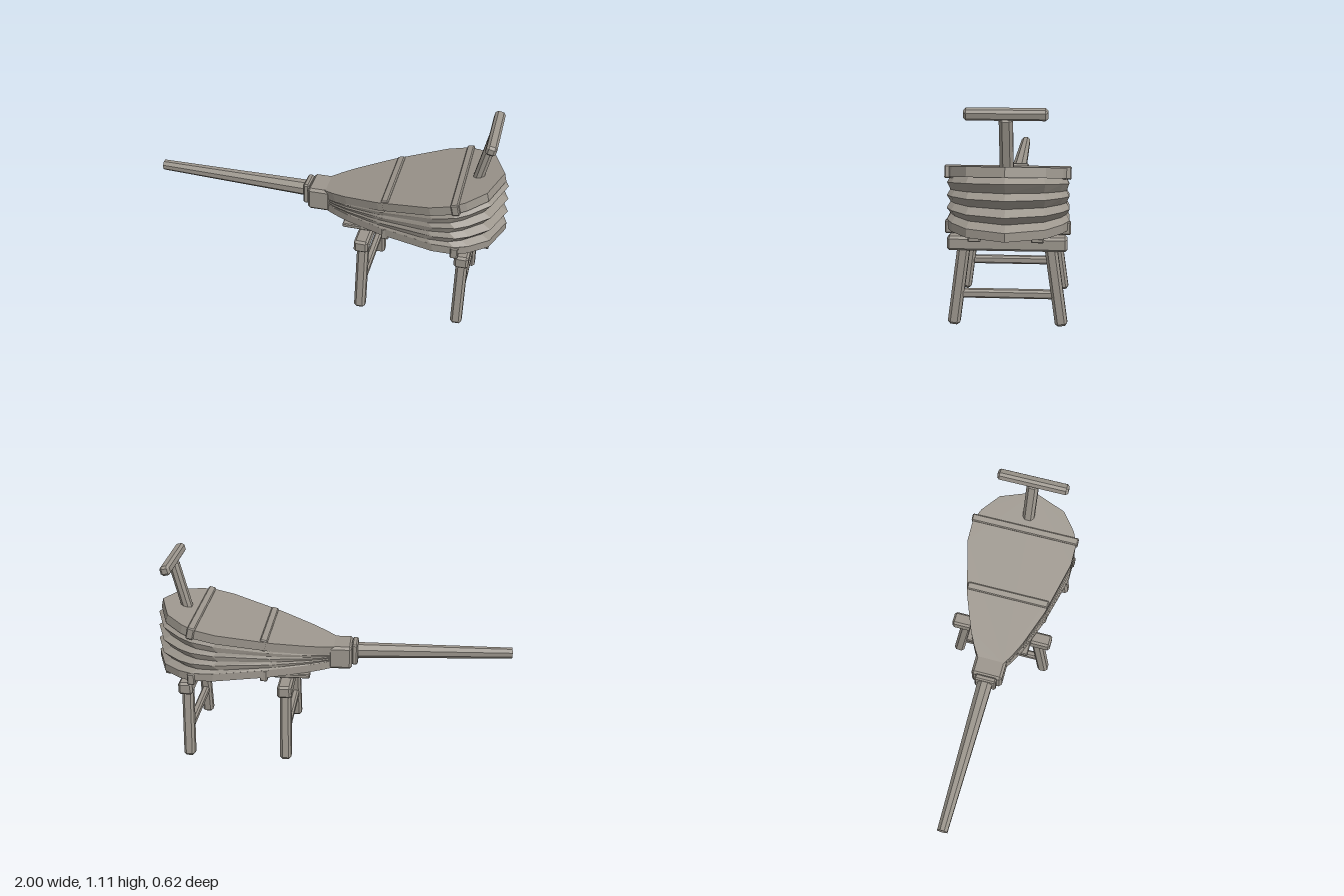
import * as THREE from 'three';
import { ConvexGeometry } from 'three/addons/geometries/ConvexGeometry.js';

const wood = new THREE.MeshStandardMaterial({ color: 0x9c968d, flatShading: true });
wood.name = 'grey wood';

// Half outline of the boards: [x, half width]
const HALF = [[0, 0.075], [0.06, 0.112], [0.14, 0.152], [0.34, 0.228], [0.64, 0.303],
  [0.76, 0.303], [0.83, 0.272], [0.93, 0.19], [1, 0]];
const OUTLINE = [...HALF, ...HALF.slice(0, -1).reverse().map(([x, w]) => [x, -w])];
const TILT = 0.23;

function mesh(name, geometry, parent) {
  const m = new THREE.Mesh(geometry, wood);
  m.name = name;
  parent.add(m);
  return m;
}

// Box with every edge chamfered by c
function beam(name, parent, size, pos, c = 0.01) {
  const points = [];
  for (let axis = 0; axis < 3; axis++) {
    for (let s = 0; s < 8; s++) {
      const p = size.map((d, i) => (d / 2 - (i === axis ? 0 : c)) * ((s >> i) & 1 ? 1 : -1));
      points.push(new THREE.Vector3(...p));
    }
  }
  const m = mesh(name, new ConvexGeometry(points), parent);
  m.position.set(...pos);
  return m;
}

// Chamfered beam whose length runs between two points
function strut(name, parent, a, b, width, depth, c) {
  const from = new THREE.Vector3(...a), to = new THREE.Vector3(...b);
  const dir = to.clone().sub(from);
  const m = beam(name, parent, [width, dir.length(), depth], [0, 0, 0], c);
  m.position.copy(from).add(to).multiplyScalar(0.5);
  m.quaternion.setFromUnitVectors(new THREE.Vector3(0, 1, 0), dir.normalize());
  return m;
}

// Leaf-shaped board standing on its local y = 0
function board(name, parent, thickness) {
  const shape = new THREE.Shape(OUTLINE.map(([x, z]) => new THREE.Vector2(x, z)));
  const g = new THREE.ExtrudeGeometry(shape, { depth: thickness, bevelEnabled: false });
  g.rotateX(-Math.PI / 2);
  return mesh(name, g, parent);
}

// Pleated skin fanning out between the two boards
function pleats() {
  const layers = [[0, 1], [0.11, 0.95], [0.28, 1], [0.41, 0.95], [0.585, 0.995],
    [0.71, 0.95], [0.89, 0.99], [1.02, 0.95]];
  const n = OUTLINE.length, pos = [], index = [];
  layers.forEach(([t, s], row) => {
    OUTLINE.forEach(([x, z], i) => {
      pos.push(x * s, 0.533 + t * (0.037 + 0.23 * x * s), z * s);
      if (row < layers.length - 1) {
        const a = row * n + i, b = row * n + (i + 1) % n;
        index.push(a, b, b + n, a, b + n, a + n);
      }
    });
  });
  const g = new THREE.BufferGeometry();
  g.setAttribute('position', new THREE.Float32BufferAttribute(pos, 3));
  g.setIndex(index);
  const flat = g.toNonIndexed();
  flat.computeVertexNormals();
  return flat;
}

export function createModel() {
  const model = new THREE.Group();
  model.name = 'forgeBellows';

  // Trestles
  for (const x of [0.25, 0.8]) {
    const trestle = new THREE.Group();
    trestle.name = 'trestle';
    trestle.position.x = x;
    model.add(trestle);
    beam('trestleBeam', trestle, [0.078, 0.072, 0.59], [0, 0.43, 0], 0.012);
    beam('trestleStretcher', trestle, [0.042, 0.044, 0.46], [0, 0.165, 0], 0.01);
    for (const side of [1, -1]) {
      strut('trestleLeg', trestle, [0, 0.004, side * 0.27], [0, 0.42, side * 0.213], 0.062, 0.062, 0.014);
    }
  }

  // Long rails under the lower board
  for (const side of [1, -1]) {
    beam('rail', model, [0.81, 0.024, 0.062], [0.525, 0.479, side * 0.152], 0.005);
  }

  // Boards with their cross battens
  board('lowerBoard', model, 0.044).position.y = 0.49;
  const lid = new THREE.Group();
  lid.name = 'lid';
  lid.position.y = 0.57;
  lid.rotation.z = TILT;
  model.add(lid);
  board('upperBoard', lid, 0.05);
  for (const [x, w] of [[0.37, 0.472], [0.76, 0.622]]) {
    beam('lowerBatten', model, [0.042, 0.066, w], [x, 0.499, 0], 0.006);
    beam('upperBatten', lid, [0.042, 0.066, w], [x + 0.015, 0.027, 0], 0.006);
  }
  mesh('pleats', pleats(), model);

  // Pump handle
  strut('handlePost', model, [0.815, 0.76, 0], [0.888, 1.07, 0], 0.055, 0.066, 0.016);
  const grip = beam('handleGrip', model, [0.056, 0.054, 0.4], [0.89, 1.083, 0], 0.013);
  grip.rotation.z = -TILT;

  // Nozzle block, collar and tapered pipe
  beam('nozzleBlock', model, [0.132, 0.134, 0.176], [-0.042, 0.553, 0], 0.014);
  beam('nozzleCollar', model, [0.034, 0.122, 0.122], [-0.122, 0.564, 0], 0.008);
  const length = 0.9;
  const pipe = new THREE.CylinderGeometry(0.03, 0.046, length, 8);
  pipe.rotateY(Math.PI / 8);
  pipe.rotateZ(Math.PI / 2);
  const p = mesh('nozzlePipe', pipe, model);
  p.position.set(-0.55, 0.576, 0);
  p.rotation.z = -0.017;

  return model;
}
